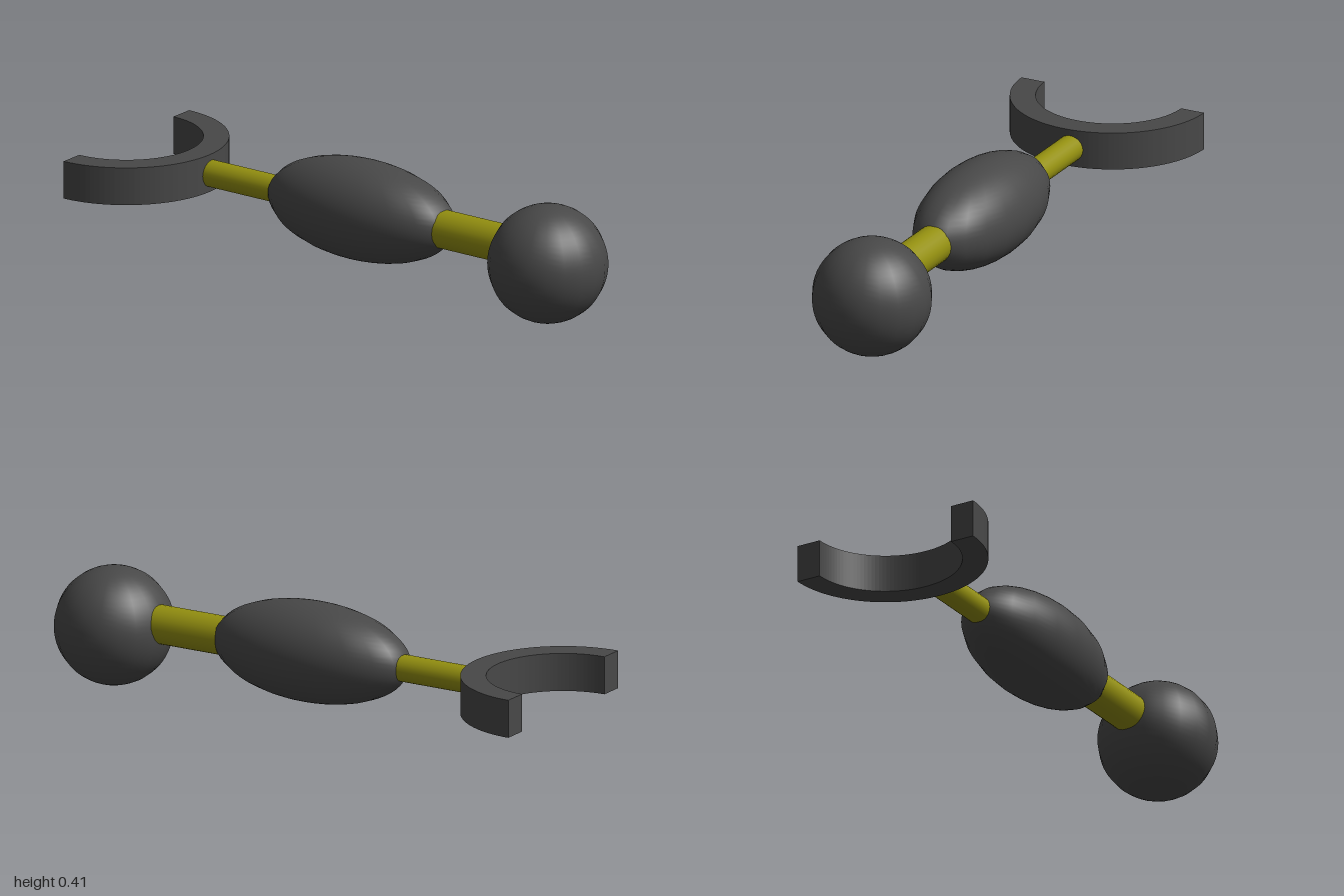
import * as THREE from 'three';

export function createModel() {
  const group = new THREE.Group();
  const dark = new THREE.MeshStandardMaterial({ color: 0x484848 });
  const yellow = new THREE.MeshStandardMaterial({ color: 0x949010 });

  const add = (name, geometry, material, x, y, z) => {
    const mesh = new THREE.Mesh(geometry, material);
    mesh.name = name;
    mesh.position.set(x, y, z);
    group.add(mesh);
    return mesh;
  };

  // Rod along x between two points
  const addRod = (name, x0, x1, radius) => {
    const geometry = new THREE.CylinderGeometry(radius, radius, x1 - x0, 24).rotateZ(Math.PI / 2);
    add(name, geometry, yellow, (x0 + x1) / 2, 0.239, -0.019);
  };

  // Ball at one end
  add('endBall', new THREE.SphereGeometry(0.206, 20, 32), dark, 0.792, 0.207, -0.018);

  // Swollen grip in the middle
  add('grip', new THREE.SphereGeometry(1, 20, 32).scale(0.382, 0.174, 0.174), dark, -0.004, 0.24, -0.019);

  // Rods joining the grip to both ends
  addRod('thinRod', -0.665, -0.3, 0.047);
  addRod('thickRod', 0.3, 0.65, 0.067);

  // Half ring, open toward -x
  const arc = new THREE.Shape();
  arc.absarc(0, 0, 0.35, -Math.PI / 2, Math.PI / 2, false);
  arc.absarc(0, 0, 0.262, Math.PI / 2, -Math.PI / 2, true);
  arc.closePath();
  const ring = new THREE.ExtrudeGeometry(arc, { depth: 0.133, bevelEnabled: false, curveSegments: 32 });
  ring.rotateX(-Math.PI / 2);
  add('halfRing', ring, dark, -1, 0.175, 0);

  return group;
}
